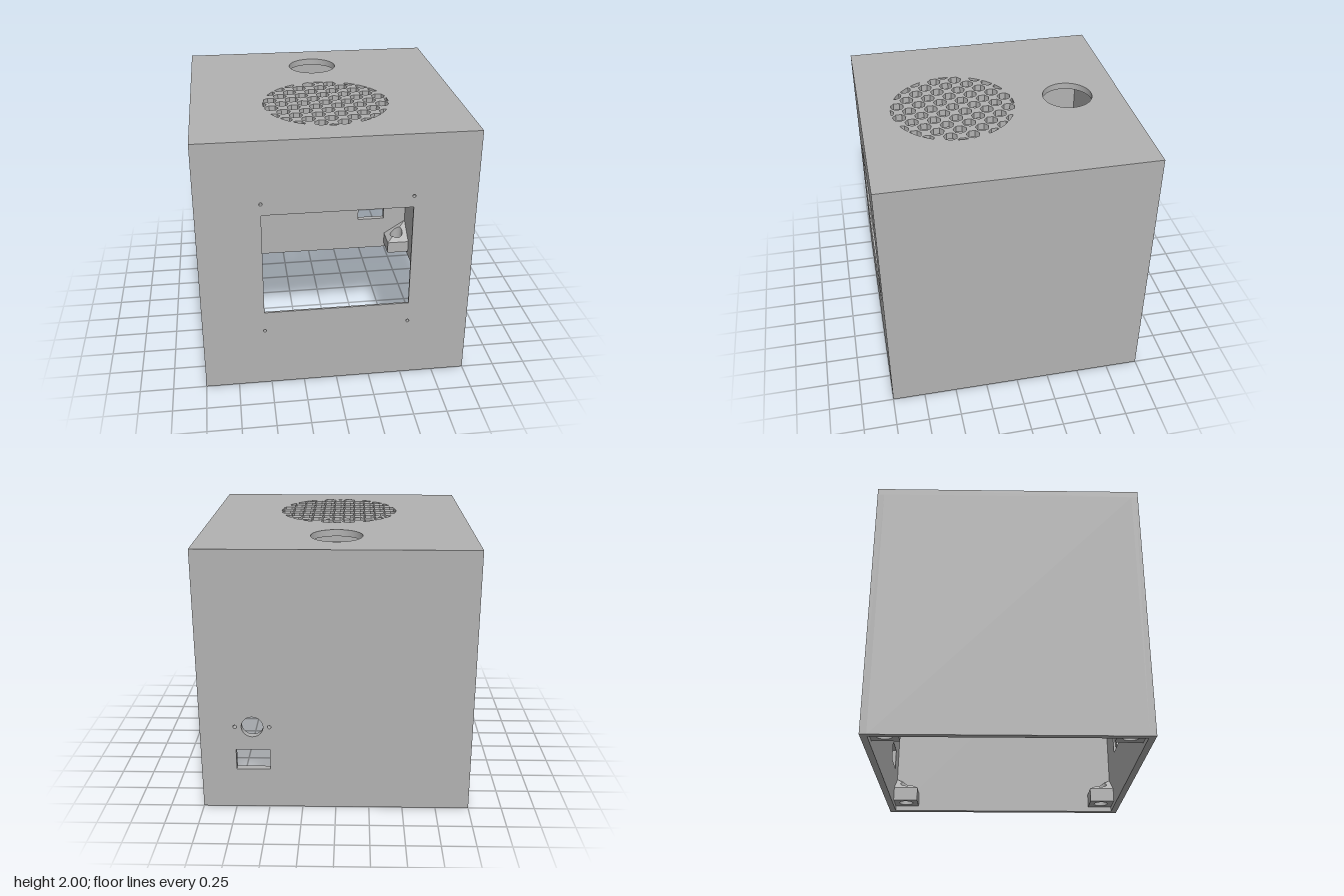
import * as THREE from 'three';
import { toCreasedNormals } from 'three/addons/utils/BufferGeometryUtils.js';

const T = 0.05; // wall thickness
const SKIN = 0.015; // thin front skin around the window

const rect = (x0, y0, x1, y1) => [[x0, y0], [x1, y0], [x1, y1], [x0, y1]].map(p => new THREE.Vector2(...p));

const ngon = (cx, cy, r, n = 32) => Array.from({ length: n }, (_, i) => {
  const a = (i / n) * Math.PI * 2;
  return new THREE.Vector2(cx + r * Math.cos(a), cy + r * Math.sin(a));
});

// Extruded plate with holes
function plate(outline, holes, depth) {
  const shape = new THREE.Shape(outline);
  shape.holes = holes.map(h => new THREE.Path(h));
  return new THREE.ExtrudeGeometry(shape, { depth, bevelEnabled: false, curveSegments: 32 });
}

// Clip a polygon by a convex counter-clockwise polygon
function clip(poly, border) {
  let out = poly;
  border.forEach((a, i) => {
    const d = border[(i + 1) % border.length].clone().sub(a);
    const side = p => d.x * (p.y - a.y) - d.y * (p.x - a.x);
    const next = [];
    out.forEach((p, j) => {
      const q = out[(j + 1) % out.length], sp = side(p), sq = side(q);
      if (sp >= 0) next.push(p);
      if (sp * sq < 0) next.push(p.clone().lerp(q, sp / (sp - sq)));
    });
    out = next;
  });
  return out;
}

// Staggered speaker perforations trimmed to a disc (y here is -z)
function grilleHoles() {
  const cy = -0.305, pitch = 0.164, disc = ngon(0, cy, 0.467, 72), holes = [];
  for (let k = -6; k <= 6; k++) {
    for (let n = -4; n <= 4; n++) {
      const x = (n + (k % 2 ? 0.5 : 0)) * pitch;
      const hole = clip(ngon(x, cy + k * pitch / 2, 0.051, 7), disc);
      if (hole.length > 2 && Math.abs(THREE.ShapeUtils.area(hole)) > 1e-4) holes.push(hole);
    }
  }
  return holes;
}

// Half of a corner foot, split on the diagonal; its top rises to the corner
function footHalf(flip) {
  const w = 0.2, c = 0.1, r = 0.058, y0 = 0.04, low = 0.15, high = 0.28;
  const pts = [[0, 0], [w, 0], [w, w]];
  for (let i = 0; i <= 16; i++) {
    const a = Math.PI / 4 - (i / 16) * Math.PI;
    pts.push([c + r * Math.cos(a), c + r * Math.sin(a)]);
  }
  const g = plate(pts.map(([x, y]) => (flip ? new THREE.Vector2(y, x) : new THREE.Vector2(x, y))), [], 1);
  const p = g.attributes.position;
  for (let i = 0; i < p.count; i++) {
    const u = p.getX(i), v = p.getY(i);
    const top = low + (high - low) * (1 - Math.max(u, v) / w);
    p.setXYZ(i, u - 1 + T, p.getZ(i) > 0.5 ? top : y0, 1 - T - v);
  }
  g.computeVertexNormals();
  return g;
}

export function createModel() {
  const model = new THREE.Group();
  const grey = new THREE.MeshStandardMaterial({ color: 0xb2b2b2 });
  grey.name = 'grey plastic';

  const add = (name, geometry, parent = model) => {
    const mesh = new THREE.Mesh(toCreasedNormals(geometry, 0.5), grey);
    mesh.name = name;
    parent.add(mesh);
    return mesh;
  };

  // Top with the round opening and the grille
  const top = plate(rect(-1, -1, 1, 1), [ngon(0, 0.587, 0.19, 64), ...grilleHoles()], T);
  add('topPanel', top.rotateX(-Math.PI / 2).translate(0, 2 - T, 0));

  // Side walls
  for (const s of [-1, 1]) {
    const wall = new THREE.BoxGeometry(T, 2 - T, 2 - 2 * T);
    add(s > 0 ? 'leftWall' : 'rightWall', wall.translate(s * (1 - T / 2), 1 - T / 2, 0));
  }

  // Front: thin skin with window, backed by a layer with a larger pocket
  const screws = [[-0.54, 1.53], [0.54, 1.53], [-0.54, 0.475], [0.54, 0.475]];
  const face = rect(-1, 0, 1, 2 - T);
  const skinHoles = [rect(-0.54, 0.635, 0.54, 1.443), ...screws.map(([x, y]) => ngon(x, y, 0.012, 16))];
  add('frontSkin', plate(face, skinHoles, SKIN).translate(0, 0, 1 - SKIN));
  add('frontBacking', plate(face, [rect(-0.59, 0.42, 0.59, 1.58)], T - SKIN).translate(0, 0, 1 - T));

  // Screw bosses inside the pocket
  for (const [x, y] of screws) {
    add('screwBoss', plate(ngon(x, y, 0.025, 24), [ngon(x, y, 0.012, 16)], 0.02).translate(0, 0, 1 - SKIN - 0.02));
  }

  // Back wall with socket, its screw holes and the switch cutout
  const backHoles = [
    ngon(0.613, 0.665, 0.08), ngon(0.74, 0.665, 0.014, 16), ngon(0.487, 0.665, 0.014, 16),
    rect(0.488, 0.317, 0.738, 0.48),
  ];
  add('backWall', plate(face, backHoles, T).translate(0, 0, -1));

  // Four corner feet with screw holes
  for (let i = 0; i < 4; i++) {
    const foot = new THREE.Group();
    foot.name = 'cornerFoot';
    foot.rotation.y = i * Math.PI / 2;
    add('footHalfA', footHalf(false), foot);
    add('footHalfB', footHalf(true), foot);
    model.add(foot);
  }
  return model;
}
